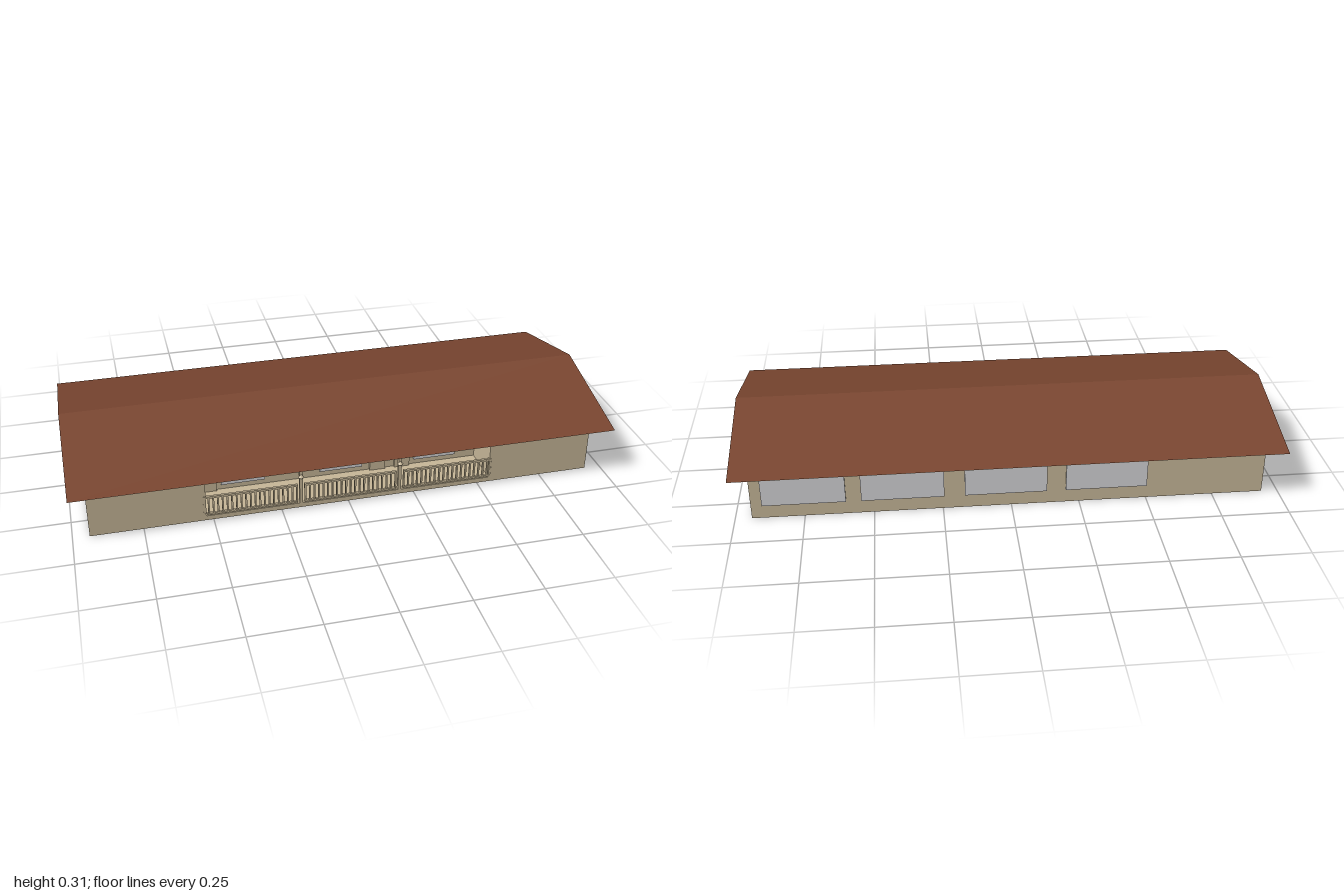
import * as THREE from 'three';

const mat = (name, color) => Object.assign(new THREE.MeshStandardMaterial({ color }), { name });

export function createModel() {
  const house = new THREE.Group();
  house.name = 'longHouse';
  const stucco = mat('beigeStucco', 0xc8b899);
  const shingle = mat('brownShingle', 0x7a4630);
  const glass = mat('paleGlass', 0xd4d4d7);

  const add = (name, geo, material, parent = house) => {
    const m = new THREE.Mesh(geo, material);
    m.name = name;
    parent.add(m);
    return m;
  };
  // Box given by its two extreme corners
  const box = (name, x0, x1, y0, y1, z0, z1, material, parent) => {
    const m = add(name, new THREE.BoxGeometry(x1 - x0, y1 - y0, z1 - z0), material, parent);
    m.position.set((x0 + x1) / 2, (y0 + y1) / 2, (z0 + z1) / 2);
    return m;
  };

  const W = 0.94, D = 0.35, EAVE = 0.205, FLOOR = 0.018;
  const L = -0.525, R = 0.545, BACK = 0.19; // porch recess

  // Floor slab, and walls with the recessed porch cut out of the footprint
  box('floorSlab', -W, W, 0, FLOOR, -D, D, stucco);
  const plan = new THREE.Shape([
    [-W, -D], [W, -D], [W, D], [R, D], [R, BACK], [L, BACK], [L, D], [-W, D],
  ].map(([x, z]) => new THREE.Vector2(x, -z)).reverse());
  const walls = new THREE.ExtrudeGeometry(plan, { depth: EAVE - FLOOR, bevelEnabled: false });
  walls.rotateX(-Math.PI / 2);
  add('walls', walls, stucco).position.y = FLOOR;

  // Gable body: a triangular prism with plain ends and soffit
  const EX = 1, EZ = 0.43, RIDGE = 0.307;
  const gable = new THREE.Shape();
  gable.moveTo(-EZ, 0).lineTo(EZ, 0).lineTo(0, RIDGE - EAVE - 0.001).closePath();
  const prism = new THREE.ExtrudeGeometry(gable, { depth: 2 * EX, bevelEnabled: false });
  prism.rotateY(Math.PI / 2).translate(-EX, EAVE, 0);
  add('gableAndSoffit', prism, stucco);

  // Shingled slopes laid just over the prism
  const pitch = Math.atan2(RIDGE - EAVE, EZ);
  for (const side of [1, -1]) {
    const slope = new THREE.PlaneGeometry(2 * EX, Math.hypot(EZ, RIDGE - EAVE));
    slope.rotateX(-Math.PI / 2).rotateX(pitch);
    slope.translate(0, (EAVE + RIDGE) / 2, EZ / 2);
    if (side < 0) slope.rotateY(Math.PI);
    add(side > 0 ? 'frontRoofSlope' : 'backRoofSlope', slope, shingle).position.y = 0.001;
  }

  // Back windows
  for (const [x0, x1] of [[0.6, 0.9], [0.245, 0.545], [-0.13, 0.17], [-0.5, -0.2]]) {
    box('backWindow', x0, x1, 0.055, 0.17, -D - 0.009, -D, glass);
  }

  // Porch windows and doors
  for (const x of [-0.365, 0.01, 0.38]) {
    box('porchWindow', x - 0.082, x + 0.082, 0.04, 0.128, BACK, BACK + 0.008, glass);
  }
  for (const x of [-0.495, 0.153, 0.25]) {
    box('porchDoor', x - 0.03, x + 0.03, FLOOR, 0.13, BACK, BACK + 0.009, stucco);
  }

  // Porch posts with small wall lamps
  for (const x of [-0.177, 0.195]) {
    box('porchPost', x - 0.006, x + 0.006, FLOOR, EAVE, D - 0.014, D, stucco);
    const lamp = add('postLamp', new THREE.ConeGeometry(0.011, 0.012, 8), stucco);
    lamp.position.set(x, 0.136, D + 0.001);
  }

  // Railings: top and bottom rails with balusters
  for (const [x0, x1] of [[-0.535, -0.19], [-0.165, 0.182], [0.208, 0.558]]) {
    const rail = new THREE.Group();
    rail.name = 'railing';
    house.add(rail);
    const z0 = D - 0.007, z1 = D + 0.002;
    box('topRail', x0, x1, 0.092, 0.1, z0, z1, stucco, rail);
    box('bottomRail', x0, x1, 0.022, 0.029, z0, z1, stucco, rail);
    const n = 20;
    for (let i = 0; i <= n; i++) {
      const x = x0 + 0.003 + (x1 - x0 - 0.006) * i / n;
      box('baluster', x - 0.003, x + 0.003, 0.026, 0.095, D - 0.006, D + 0.001, stucco, rail);
    }
  }
  return house;
}
